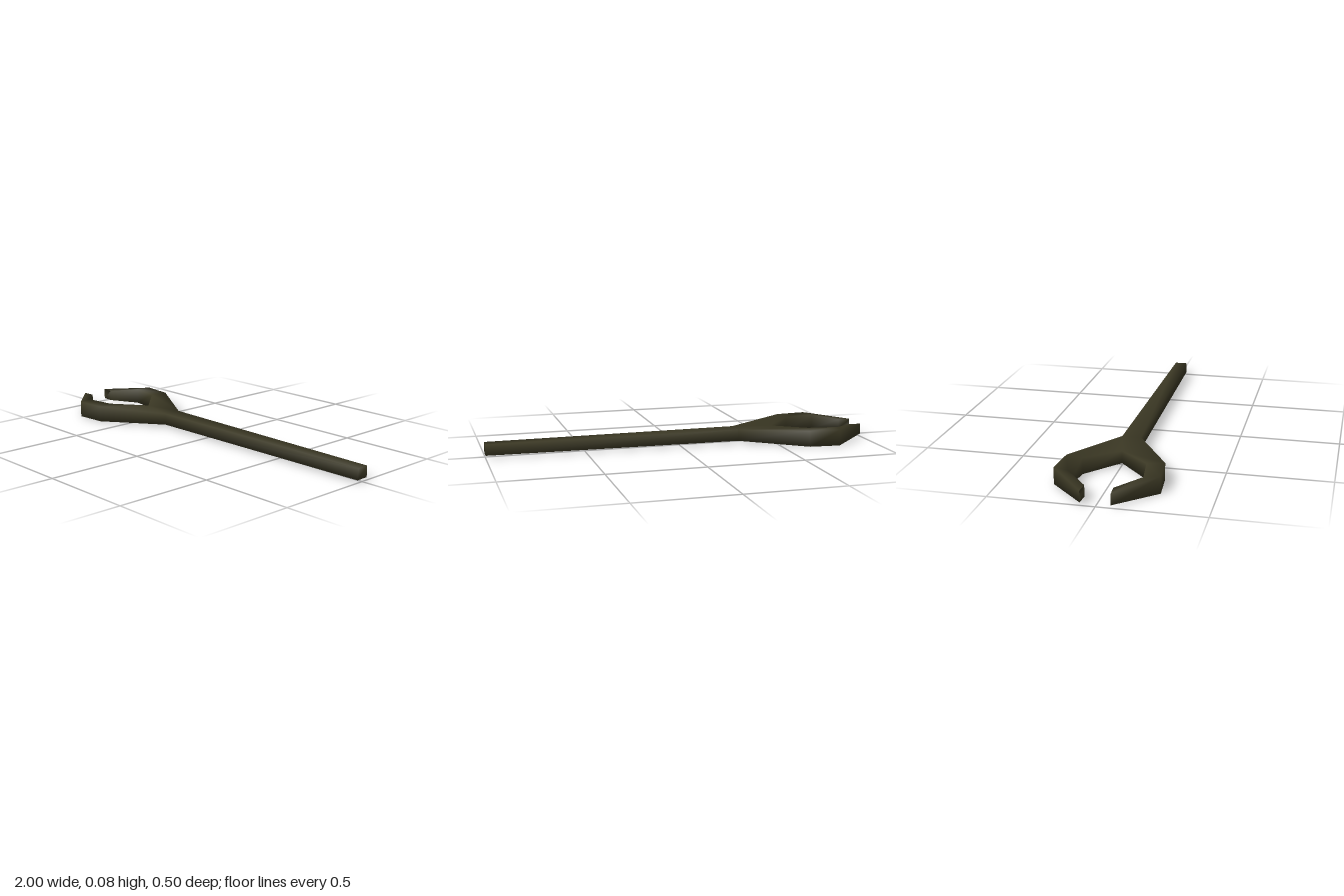
import * as THREE from 'three';

const MID_Y = 0.0415;

// Half of the plan outline, from the handle end round one prong to the crotch: x, z, half height
const HALF = [
  [1, 0.033, 0.028],      // 0 handle end
  [-0.31, 0.047, 0.03],   // 1 where the fork begins
  [-0.64, 0.236, 0.0415], // 2-4 outside of the prong
  [-0.8, 0.249, 0.0415],
  [-1, 0.07, 0.0275],
  [-0.935, 0.066, 0.0275],// 5-7 inside of the prong
  [-0.82, 0.174, 0.0405],
  [-0.66, 0.152, 0.0405],
  [-0.51, 0, 0.0315],     // 8 crotch
];

export function createModel() {
  const group = new THREE.Group();
  const olive = new THREE.MeshStandardMaterial({ color: 0x3b3824 });
  olive.name = 'darkOlive';

  // Whole outline: the half plus its mirror image, each point with a top and a bottom vertex
  const outline = [...HALF, ...HALF.slice(0, -1).reverse().map(([x, z, h]) => [x, -z, h])];
  const last = outline.length - 1;
  const positions = outline.flatMap(([x, z, h]) => [x, MID_Y + h, z, x, MID_Y - h, z]);
  const top = (i) => 2 * i;
  const bottom = (i) => 2 * i + 1;

  const polygon = (index, v) => {
    for (let k = 1; k < v.length - 1; k++) index.push(v[0], v[k], v[k + 1]);
  };
  const plates = (index, loop) => {
    polygon(index, loop.map(top).reverse());
    polygon(index, loop.map(bottom));
  };
  const wall = (index, a, b) => polygon(index, [bottom(b), bottom(a), top(a), top(b)]);

  // Handle: tapered square bar
  const handle = [];
  plates(handle, [0, 1, last - 1, last]);
  wall(handle, 0, 1);
  wall(handle, last - 1, last);
  wall(handle, last, 0);

  // Fork: web at the crotch and two bent prongs
  const fork = [];
  plates(fork, [1, 8, last - 1]);
  for (const loop of [[1, 2, 7, 8], [2, 3, 6, 7], [3, 4, 5, 6]]) {
    plates(fork, loop);
    plates(fork, loop.map((i) => last - i).reverse());
  }
  for (let i = 1; i < last - 1; i++) wall(fork, i, i + 1);

  // Smooth normals are worked out over the joined body so the seam does not show
  const body = new THREE.BufferGeometry();
  body.setAttribute('position', new THREE.Float32BufferAttribute(positions, 3));
  body.setIndex([...handle, ...fork]);
  body.computeVertexNormals();

  for (const [name, index] of [['handle', handle], ['fork', fork]]) {
    const geometry = body.clone();
    geometry.setIndex(index);
    const mesh = new THREE.Mesh(geometry, olive);
    mesh.name = name;
    group.add(mesh);
  }
  return group;
}
